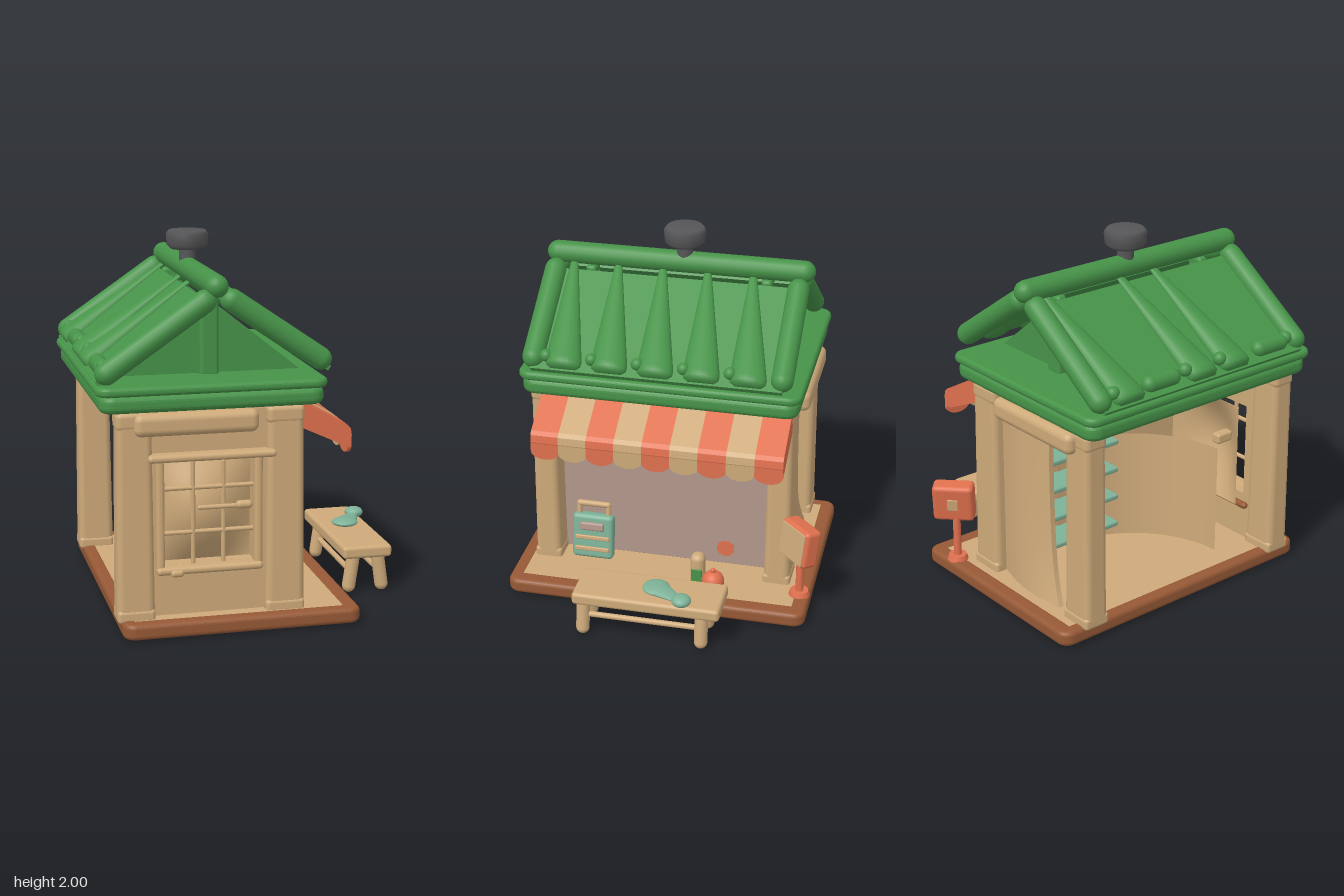
import * as THREE from 'three';
import { RoundedBoxGeometry } from 'three/addons/geometries/RoundedBoxGeometry.js';

const mat = (name, color, side = THREE.FrontSide) => {
  const m = new THREE.MeshStandardMaterial({ color, side });
  m.name = name;
  return m;
};

export function createModel() {
  const tan = mat('tan plaster', 0xceaa7a, THREE.DoubleSide);
  const green = mat('roof green', 0x479349);
  const orange = mat('awning orange', 0xe0704e);
  const brown = mat('base brown', 0x965936);
  const grey = mat('chimney grey', 0x565658);
  const pink = mat('panel pink', 0xb2978b);
  const teal = mat('soft teal', 0x7db197);

  const root = new THREE.Group();
  root.name = 'marketStall';

  // helpers
  const add = (name, geo, m, x = 0, y = 0, z = 0, parent = root) => {
    const mesh = new THREE.Mesh(geo, m);
    mesh.name = name;
    mesh.position.set(x, y, z);
    parent.add(mesh);
    return mesh;
  };
  // rounded box given by its minimum and maximum corners
  const box = (name, m, x0, x1, y0, y1, z0, z1, r = 0.02, parent = root) => {
    const w = x1 - x0, h = y1 - y0, d = z1 - z0;
    const geo = new RoundedBoxGeometry(w, h, d, 3, Math.min(r, w / 2.1, h / 2.1, d / 2.1));
    return add(name, geo, m, (x0 + x1) / 2, (y0 + y1) / 2, (z0 + z1) / 2, parent);
  };
  // round-ended rod between two points
  const rod = (name, m, a, b, r, parent = root) => {
    const A = new THREE.Vector3(...a), B = new THREE.Vector3(...b);
    const d = B.clone().sub(A), len = d.length();
    const mesh = add(name, new THREE.CapsuleGeometry(r, Math.max(len - 2 * r, 0.001), 6, 16), m, 0, 0, 0, parent);
    mesh.position.copy(A).add(B).multiplyScalar(0.5);
    mesh.quaternion.setFromUnitVectors(new THREE.Vector3(0, 1, 0), d.normalize());
    return mesh;
  };
  const ball = (name, m, x, y, z, r, sy = 1) => {
    add(name, new THREE.SphereGeometry(r, 20, 14), m, x, y, z).scale.y = sy;
  };
  const rect = (path, x0, x1, y0, y1) =>
    path.moveTo(x0, y0).lineTo(x1, y0).lineTo(x1, y1).lineTo(x0, y1).closePath();
  // flat slab with round plan corners and a soft rim; an optional hole makes it a frame
  const slab = (name, m, x0, x1, y0, y1, z0, z1, r, bevel, hole) => {
    const [a, b, c, d] = [x0 + bevel, x1 - bevel, -z1 + bevel, -z0 - bevel];
    const s = new THREE.Shape().absarc(b - r, c + r, r, -Math.PI / 2, 0).absarc(b - r, d - r, r, 0, Math.PI / 2)
      .absarc(a + r, d - r, r, Math.PI / 2, Math.PI).absarc(a + r, c + r, r, Math.PI, Math.PI * 1.5);
    if (hole) s.holes.push(hole);
    const geo = new THREE.ExtrudeGeometry(s, {
      depth: y1 - y0 - 2 * bevel, bevelSize: bevel, bevelThickness: bevel, bevelSegments: 5, curveSegments: 6,
    });
    add(name, geo.rotateX(-Math.PI / 2), m, 0, y0 + bevel, 0);
  };

  // base: brown rim, tan floor, underside beams and plates
  slab('baseRim', brown, -0.745, 0.52, 0.005, 0.09, -0.82, 0.87, 0.04, 0.025,
    rect(new THREE.Path(), -0.69, 0.445, -0.81, 0.75));
  box('floor', tan, -0.7, 0.46, 0.045, 0.087, -0.77, 0.83, 0.005);
  for (const x of [-0.19, 0.17]) {
    box('underBeam', brown, x - 0.045, x + 0.045, 0.015, 0.05, -0.74, 0.8, 0.015);
    for (const z of [-0.66, 0.7]) rod('underBlock', brown, [x - 0.1, 0.035, z], [x + 0.1, 0.035, z], 0.03);
  }
  box('underPlateBack', grey, -0.09, 0.07, 0.03, 0.05, -0.44, -0.16, 0.005);
  box('underPlateFront', pink, -0.09, 0.07, 0.03, 0.05, 0.28, 0.48, 0.005);

  // four corner posts, flaring at the bottom
  const post = (x, z, w, d) => {
    const geo = new RoundedBoxGeometry(w, 1.1, d, 4, 0.035);
    const p = geo.attributes.position;
    for (let i = 0; i < p.count; i++) {
      const s = 1 - 0.05 * (p.getY(i) / 0.55);
      p.setX(i, p.getX(i) * s);
      p.setZ(i, p.getZ(i) * s);
    }
    add('cornerPost', geo, tan, x, 0.62, z);
    box('postFoot', tan, x - w / 2 - 0.004, x + w / 2 + 0.004, 0.07, 0.14, z - d / 2 - 0.008, z + d / 2 + 0.008);
    box('postCap', tan, x - w / 2, x + w / 2, 1.08, 1.18, z - d / 2, z + d / 2, 0.03);
  };
  for (const z of [0.71, -0.615]) {
    post(-0.665, z, 0.19, 0.14);
    post(0.125, z, 0.2, 0.14);
  }
  box('frontBeam', tan, -0.67, -0.02, 1.05, 1.17, 0.66, 0.805, 0.04);
  box('backBeam', tan, -0.67, -0.02, 1.05, 1.17, -0.735, -0.6, 0.04);
  box('ceiling', tan, -0.72, 0.2, 1.14, 1.19, -0.64, 0.72, 0.01);

  // front wall with its window opening and a bulging pane behind the bars
  const wall = rect(new THREE.Shape(), -0.6, 0.05, 0.08, 1.16);
  wall.holes.push(rect(new THREE.Path(), -0.52, -0.04, 0.36, 0.9));
  add('frontWall', new THREE.ExtrudeGeometry(wall, { depth: 0.07, bevelEnabled: false }), tan, 0, 0, 0.66);
  const pane = new THREE.PlaneGeometry(0.54, 0.6, 16, 16);
  const pp = pane.attributes.position;
  for (let i = 0; i < pp.count; i++) {
    pp.setZ(i, 0.13 * Math.cos(pp.getX(i) * Math.PI / 0.54) * Math.cos(pp.getY(i) * Math.PI / 0.6));
  }
  pane.computeVertexNormals();
  add('windowPane', pane, tan, -0.28, 0.63, 0.57);
  box('windowLintel', tan, -0.6, 0.07, 0.915, 0.955, 0.72, 0.805);
  box('windowSill', tan, -0.56, 0, 0.32, 0.362, 0.72, 0.805);
  box('sillTab', tan, -0.49, -0.42, 0.31, 0.35, 0.77, 0.815);
  for (const x of [-0.537, -0.022]) box('windowJamb', tan, x - 0.022, x + 0.022, 0.34, 0.93, 0.72, 0.79);
  for (const x of [-0.36, -0.2]) rod('windowBarUpright', tan, [x, 0.35, 0.74], [x, 0.91, 0.74], 0.012);
  for (const y of [0.53, 0.765]) rod('windowBarCross', tan, [-0.53, y, 0.74], [-0.03, y, 0.74], 0.012);
  rod('windowHandle', tan, [-0.34, 0.66, 0.755], [-0.1, 0.66, 0.755], 0.012);
  rod('windowGrip', tan, [-0.14, 0.665, 0.76], [-0.05, 0.665, 0.76], 0.022);
  box('innerLatch', tan, -0.44, -0.38, 0.67, 0.73, 0.53, 0.64, 0.015);
  rod('innerSill', brown, [-0.57, 0.3, 0.64], [-0.05, 0.3, 0.64], 0.02);

  // back wall: swept side edge widening towards the floor
  const back = new THREE.BoxGeometry(0.42, 1.06, 0.03, 12, 24, 1);
  const bp = back.attributes.position;
  for (let i = 0; i < bp.count; i++) {
    const t = 0.5 - bp.getX(i) / 0.42, h = bp.getY(i) + 0.53;
    const flare = Math.exp(-h / 0.22);
    bp.setX(i, bp.getX(i) - t * 0.14 * flare);
    bp.setZ(i, bp.getZ(i) - 0.04 * Math.sin(t * Math.PI) - 0.05 * t * flare);
  }
  back.computeVertexNormals();
  add('backWall', back, tan, -0.15, 0.62, -0.6);

  // curved screen and stocked shelves inside the room
  const screen = new THREE.CylinderGeometry(0.6, 0.6, 0.64, 24, 1, true, 0.03, 1.66);
  add('innerScreen', screen, tan, -0.566, 0.4, -0.18);
  for (let i = 0; i < 4; i++) {
    const y = 0.2 + i * 0.17;
    box('innerShelf', teal, -0.14, 0.045, y, y + 0.03, -0.5, 0.05, 0.01);
    box('shelfGoods', grey, -0.1, 0.03, y + 0.03, y + 0.1, -0.2, -0.04, 0.02);
  }

  // side wall with the tinted panel and its round spot
  box('sideWall', tan, 0.04, 0.08, 0.08, 1.16, -0.6, 0.68, 0.005);
  box('sidePanel', pink, 0.079, 0.087, 0.09, 0.96, -0.56, 0.65, 0.002);
  add('panelSpot', new THREE.CylinderGeometry(0.05, 0.05, 0.006, 20), orange, 0.088, 0.19, -0.3).rotation.z = Math.PI / 2;

  // roof tray
  slab('eaveRoll', green, -0.84, 0.33, 1.175, 1.268, -0.72, 0.8, 0.04, 0.035);
  slab('eaveLip', green, -0.86, 0.345, 1.265, 1.315, -0.735, 0.815, 0.05, 0.022);

  // ridge, roof slopes, rolled tiles
  rod('ridge', green, [-0.23, 1.795, -0.71], [-0.23, 1.795, 0.785], 0.06);
  const slope = (side, low, high, starts, skew) => {
    const dx = high[0] - low[0], dy = high[1] - low[1];
    const L = Math.hypot(dx, dy), tilt = -Math.atan2(dx, dy);
    const mid = [(low[0] + high[0]) / 2, (low[1] + high[1]) / 2];
    // the panel stops short of the ridge
    const panel = add(side + 'RoofPanel', new THREE.BoxGeometry(0.03, L - 0.04, 1.36), green,
      mid[0] - 0.02 * dx / L, mid[1] - 0.02 - 0.02 * dy / L, 0.045);
    panel.rotation.z = tilt;
    for (const z of [0.72, -0.63]) rod('gableRoll', green, [...low, z], [...high, z], 0.06);
    const prof = [[0, -L / 2], [0.07, -L / 2], [0.095, -L / 2 + 0.02], [0.1, -L / 2 + 0.05], [0.02, L / 2], [0, L / 2]];
    for (const z of starts) {
      const geo = new THREE.LatheGeometry(prof.map((q) => new THREE.Vector2(...q)), 20);
      const p = geo.attributes.position;
      for (let i = 0; i < p.count; i++) {
        const t = p.getY(i) / L + 0.5;
        p.setXYZ(i, p.getX(i) * 0.6, p.getY(i), p.getZ(i) + skew * (0.1 - 0.08 * t));
      }
      geo.computeVertexNormals();
      add(side + 'RoofTile', geo, green, mid[0], mid[1], z).rotation.z = tilt;
    }
  };
  const rightStarts = [0.645, 0.395, 0.145, -0.105, -0.355];
  slope('right', [0.365, 1.37], [-0.2, 1.755], rightStarts, -1);
  slope('left', [-0.845, 1.34], [-0.24, 1.755], [-0.56, -0.07, 0.16], 1);
  for (const z of rightStarts) ball('tileKnob', green, 0.33, 1.425, z, 0.034);
  for (const z of [-0.55, -0.07, 0.17, 0.65]) ball('tileKnob', green, -0.8, 1.4, z, 0.036);
  for (const z of [-0.235, 0.53]) rod('eaveCapsule', green, [-0.8, 1.385, z - 0.12], [-0.8, 1.385, z + 0.12], 0.045);

  // recessed gables with centre posts
  const tri = new THREE.Shape().moveTo(-0.76, 1.3).lineTo(0.28, 1.3).lineTo(-0.22, 1.7).closePath();
  for (const [z, s] of [[0.5, 1], [-0.42, -1]]) {
    add('gableWall', new THREE.ExtrudeGeometry(tri, { depth: 0.03, bevelEnabled: false }), green, 0, 0, z - 0.015);
    box('gablePost', green, -0.28, -0.18, 1.3, 1.74, z + s * 0.03 - 0.03, z + s * 0.03 + 0.03);
  }

  // chimney
  add('chimneyStem', new THREE.CylinderGeometry(0.045, 0.045, 0.16, 20), grey, -0.23, 1.85, 0.01);
  const cap = [[0, 0], [0.09, 0], [0.11, 0.02], [0.115, 0.08], [0.1, 0.1], [0, 0.1]];
  add('chimneyCap', new THREE.LatheGeometry(cap.map((q) => new THREE.Vector2(...q)), 28), grey, -0.23, 1.9, 0.01);

  // striped awning with scalloped flaps
  const w = 0.153;
  const prof = new THREE.Shape([[0.2, 1.05], [0.45, 0.935], [0.485, 0.94], [0.499, 0.98], [0.493, 1.02], [0.475, 1.04], [0.27, 1.155], [0.2, 1.17]].map((q) => new THREE.Vector2(...q)));
  const flap = new THREE.Shape().moveTo(-w / 2, 0.07).lineTo(-w / 2, 0).absellipse(0, 0, w / 2, 0.045, Math.PI, 2 * Math.PI, false).lineTo(w / 2, 0.07).closePath();
  for (let i = 0; i < 9; i++) {
    const z = 0.7 - w * (i + 1), m = i % 2 ? tan : orange;
    add('awningStripe', new THREE.ExtrudeGeometry(prof, { depth: w, bevelEnabled: false }), m, 0, 0, z);
    const geo = new THREE.ExtrudeGeometry(flap, { depth: 0.02, bevelEnabled: false }).rotateY(Math.PI / 2);
    add('awningFlap', geo, m, 0.477, 0.925, z + w / 2);
  }

  // standing sign, turned towards the front corner
  const sign = new THREE.Group();
  sign.name = 'standingSign';
  sign.position.set(0.325, 0.44, -0.755);
  sign.rotation.set(-0.14, Math.PI / 4, 0, 'YXZ');
  root.add(sign);
  box('signBoard', orange, -0.115, 0.115, -0.11, 0.11, -0.055, 0.05, 0.025, sign);
  box('signFace', tan, -0.1, 0.1, -0.095, 0.095, 0.047, 0.056, 0.004, sign);
  box('signBackPlate', tan, -0.03, 0.03, -0.035, 0.035, -0.061, -0.052, 0.004, sign);
  rod('signPole', orange, [0.3, 0.08, -0.76], [0.3, 0.42, -0.76], 0.022);
  add('signFoot', new THREE.CylinderGeometry(0.05, 0.06, 0.03, 20), orange, 0.3, 0.1, -0.76);

  // bench with splayed legs and rails
  box('benchTop', tan, 0.56, 0.84, 0.2, 0.27, -0.41, 0.4, 0.02);
  for (const s of [-1, 1]) {
    for (const z of [0.35, -0.305]) rod('benchLeg', tan, [0.7 + s * 0.1, 0.0, z], [0.7 + s * 0.065, 0.24, z], 0.037);
    rod('benchRail', tan, [0.7 + s * 0.08, 0.115, 0.34], [0.7 + s * 0.08, 0.115, -0.3], 0.016);
  }

  // ladle on the bench
  ball('ladleBody', teal, 0.7, 0.285, -0.04, 0.075, 0.3);
  const neck = add('ladleNeck', new THREE.CylinderGeometry(0.028, 0.068, 0.15, 18), teal, 0.75, 0.285, -0.115);
  neck.rotation.set(-Math.PI / 2, -0.57, 0, 'YXZ');
  neck.scale.z = 0.35;
  ball('ladleCup', teal, 0.805, 0.293, -0.2, 0.053, 0.6);

  // goods on the floor: leaning crate, round jar and fruit
  const crate = new THREE.Group();
  crate.name = 'leaningCrate';
  crate.position.set(0.18, 0.09, 0.455);
  crate.rotation.z = 0.12;
  root.add(crate);
  box('crateBody', teal, -0.035, 0.035, 0, 0.27, -0.12, 0.12, 0.025, crate);
  box('crateCushion', pink, 0.03, 0.055, 0.18, 0.23, -0.07, 0.07, 0.015, crate);
  for (const y of [0.05, 0.12]) box('crateSlat', tan, 0.03, 0.045, y, y + 0.025, -0.1, 0.1, 0.006, crate);
  rod('crateHandle', tan, [0, 0.33, -0.1], [0, 0.33, 0.1], 0.017, crate);
  for (const z of [-0.085, 0.085]) rod('crateHandleSide', tan, [0, 0.24, z], [0, 0.34, z], 0.015, crate);
  box('jar', tan, 0.33, 0.415, 0.085, 0.32, -0.24, -0.16, 0.035);
  box('jarLabel', green, 0.41, 0.419, 0.11, 0.24, -0.23, -0.17, 0.004);
  ball('fruit', orange, 0.445, 0.2, -0.3, 0.062);
  rod('fruitStem', orange, [0.445, 0.24, -0.3], [0.45, 0.285, -0.3], 0.014);

  return root;
}
